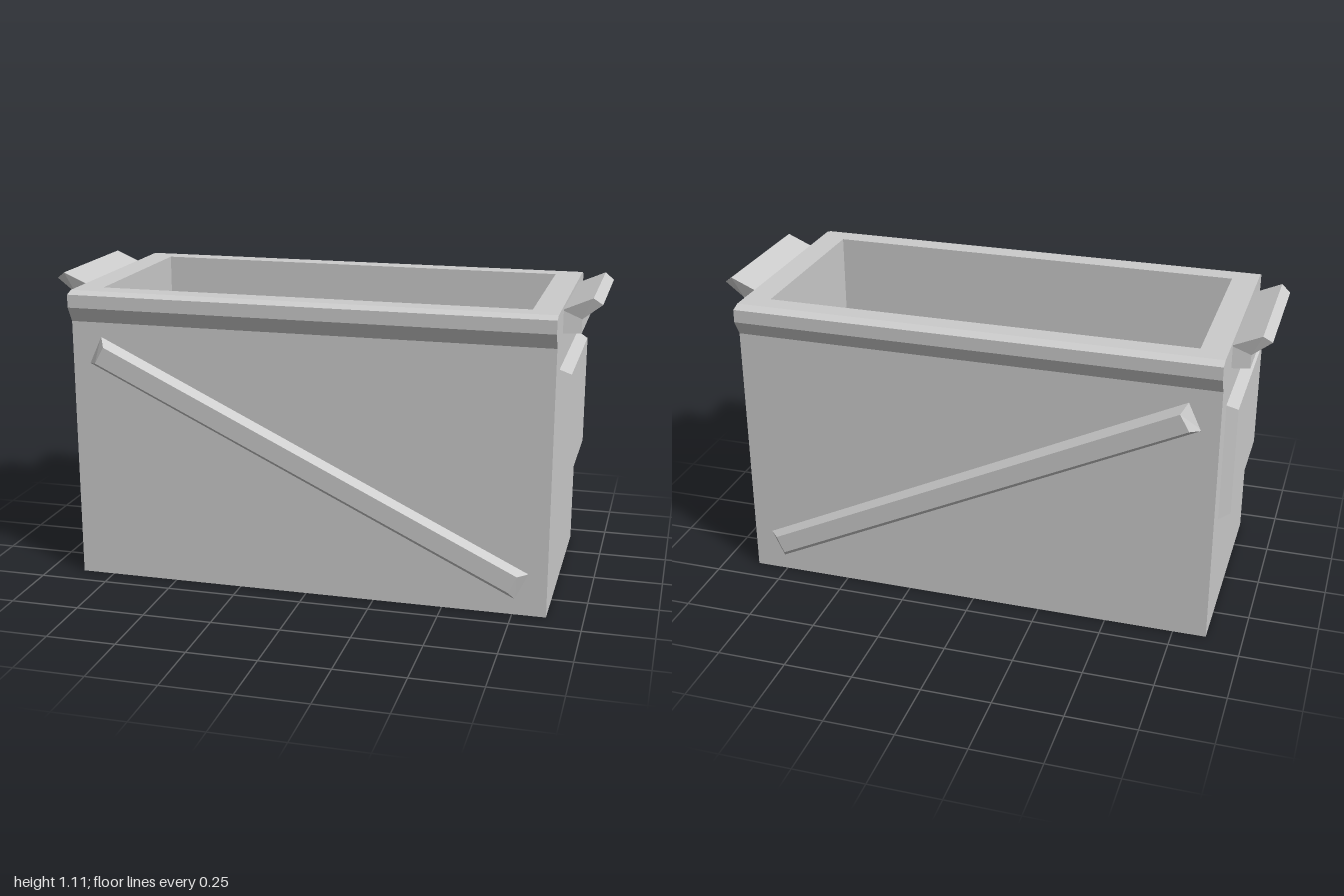
import * as THREE from 'three';

const material = new THREE.MeshStandardMaterial({ color: 0xcccccc, flatShading: true });

// Skins a list of equal rings, each counter-clockwise seen from the far end, and caps both ends.
function loft(name, rings) {
  const pos = [];
  const tri = (...pts) => pts.forEach((p) => pos.push(...p));
  const n = rings[0].length;
  for (let r = 0; r < rings.length - 1; r++) {
    const a = rings[r], b = rings[r + 1];
    for (let i = 0; i < n; i++) {
      const j = (i + 1) % n;
      tri(a[i], a[j], b[j]);
      tri(a[i], b[j], b[i]);
    }
  }
  const first = rings[0], last = rings[rings.length - 1];
  for (let i = 1; i < n - 1; i++) {
    tri(first[0], first[i + 1], first[i]);
    tri(last[0], last[i], last[i + 1]);
  }
  const geometry = new THREE.BufferGeometry();
  geometry.setAttribute('position', new THREE.Float32BufferAttribute(pos, 3));
  geometry.computeVertexNormals();
  const mesh = new THREE.Mesh(geometry, material);
  mesh.name = name;
  return mesh;
}

// Mirrors rings across z, reversing them so the faces still point outward.
const mirrorZ = (rings) => rings.map((ring) => ring.map(([x, y, z]) => [x, y, -z]).reverse());

export function createModel() {
  const model = new THREE.Group();
  model.name = 'openContainer';

  // Body: up the outside, over the flared long rims, down into the cavity
  const bodyProfile = [
    [0.87, 0.415, 0], [0.87, 0.415, 0.963], [0.87, 0.447, 1.018], [0.87, 0.447, 1.065],
    [0.87, 0.412, 1.076], [0.775, 0.34, 1.076], [0.775, 0.34, 0.09],
  ];
  model.add(loft('body', bodyProfile.map(([x, z, y]) =>
    [[x, y, z], [x, y, -z], [-x, y, -z], [-x, y, z]])));

  // Diagonal bevelled ribs on both long sides
  const ribRings = [
    [[-0.81, 0.81, 0.41], [0.76, 0.053, 0.41], [0.808, 0.155, 0.41], [-0.762, 0.914, 0.41]],
    [[-0.772, 0.82, 0.453], [0.74, 0.093, 0.453], [0.768, 0.155, 0.453], [-0.738, 0.88, 0.453]],
  ];
  model.add(loft('frontRib', ribRings), loft('backRib', mirrorZ(ribRings)));

  // Bevelled panel and lipped handle, repeated on each end
  const panelRing = (x, z, low, high) => [[x, low, z], [x, low, -z], [x, high, -z], [x, high, z]];
  const handleProfile = [ // x, y, half width
    [0.932, 1.03, 0.24], [1, 1.083, 0.24], [0.968, 1.107, 0.255],
    [0.865, 1.062, 0.255], [0.865, 0.98, 0.255], [0.932, 0.98, 0.24],
  ];
  for (const [side, angle] of [['left', 0], ['right', Math.PI]]) {
    const end = new THREE.Group();
    end.name = side + 'End';
    end.add(loft(side + 'Panel', [
      panelRing(0.865, 0.314, 0.423, 0.87),
      panelRing(0.91, 0.291, 0.445, 0.847),
    ]));
    end.add(loft(side + 'Handle', [-1, 1].map((s) =>
      handleProfile.map(([x, y, w]) => [x, y, s * w]))));
    end.rotation.y = angle;
    model.add(end);
  }
  return model;
}
